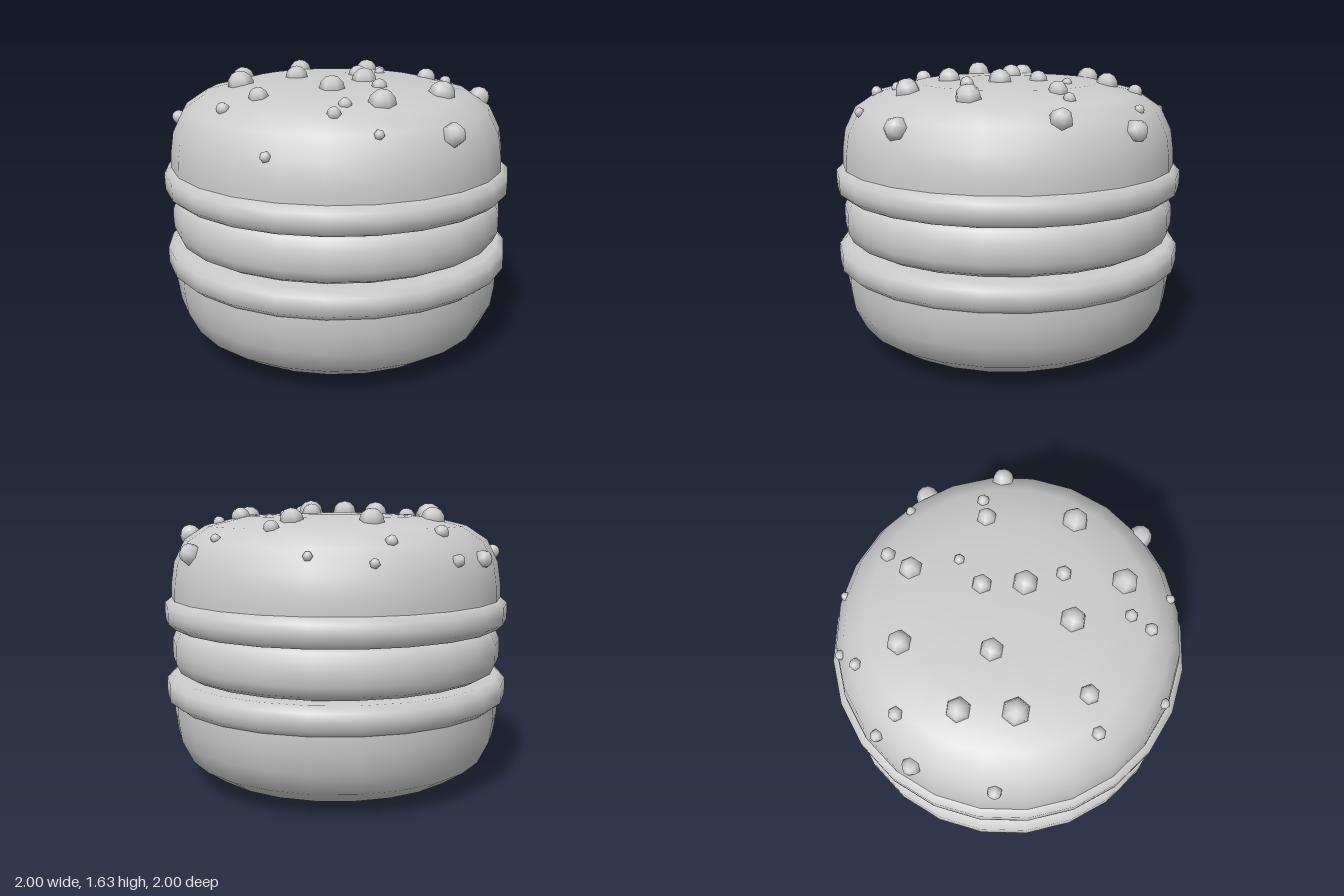
import * as THREE from 'three';

const SIDES = 24;
const HEIGHT = 1.565; // height of the two shells, which mirror each other

// Profiles as [radius, y], running upwards
const DOME = [[0.96, 1.0], [0.96, 1.1], [0.957, 1.17], [0.94, 1.285], [0.877, 1.412],
  [0.755, 1.493], [0.53, 1.547], [0.26, 1.56], [0, 1.563]];
const RIM = [[0.8, 0.923], [0.96, 0.923], [0.998, 0.955], [1, 1.0], [1, 1.05], [0.96, 1.083], [0.88, 1.083]];
const FILLING = [[0.8, 0.648], [0.89, 0.65], [0.935, 0.675], [0.96, 0.73], [0.962, 0.785],
  [0.96, 0.84], [0.935, 0.9], [0.89, 0.922], [0.8, 0.923]];

// Crumbs as [x, z, radius]
const CRUMBS = [
  [-0.545, -0.74, 0.052], [-0.33, -0.855, 0.037], [-0.3, -0.725, 0.04], [0.04, -0.835, 0.034],
  [0.16, -0.9, 0.028], [0.46, -0.77, 0.027], [0.035, -0.585, 0.067], [-0.41, -0.425, 0.067],
  [0.41, -0.395, 0.064], [0.55, -0.48, 0.043], [-0.825, -0.39, 0.041], [0.79, -0.275, 0.028],
  [-0.525, -0.16, 0.075], [-0.18, -0.16, 0.064], [0.18, -0.08, 0.055], [0.36, -0.14, 0.03],
  [0.895, -0.15, 0.064], [0.55, 0.085, 0.055], [0.67, 0.11, 0.035], [0.105, 0.135, 0.07],
  [-0.76, 0.195, 0.038], [-0.57, 0.22, 0.054], [-0.175, 0.29, 0.07], [0.085, 0.345, 0.043],
  [0.8, 0.275, 0.063], [0.37, 0.53, 0.074], [-0.25, 0.59, 0.036], [-0.35, 0.665, 0.037],
  [-0.06, 0.635, 0.074], [-0.7, 0.615, 0.03], [-0.2, 0.855, 0.028], [0.22, 0.87, 0.067],
];

const material = new THREE.MeshStandardMaterial({ color: 0xcccccc, side: THREE.DoubleSide });

function turned(name, profile) {
  const points = profile.map(([r, y]) => new THREE.Vector2(r, y));
  const mesh = new THREE.Mesh(new THREE.LatheGeometry(points, SIDES), material);
  mesh.name = name;
  return mesh;
}

const flipped = (profile) => profile.map(([r, y]) => [r, Math.max(0, HEIGHT - y)]).reverse();

// Height and outward tilt of the dome at a given radius
function domeAt(radius) {
  for (let i = DOME.length - 2; i > 0; i--) {
    const [r0, y0] = DOME[i];
    const [r1, y1] = DOME[i + 1];
    if (radius <= r0) {
      const t = (r0 - radius) / (r0 - r1);
      return { y: y0 + (y1 - y0) * t, tilt: Math.atan2(y1 - y0, r0 - r1) };
    }
  }
  return { y: DOME[1][1], tilt: Math.PI / 2 };
}

export function createModel() {
  const model = new THREE.Group();
  model.name = 'filledCookie';

  // Two shells with their flared rims, and the filling between them
  model.add(
    turned('topShell', DOME),
    turned('topRim', RIM),
    turned('filling', FILLING),
    turned('bottomRim', flipped(RIM)),
    turned('bottomShell', flipped(DOME)),
  );

  // Crumbs half sunk into the top shell, leaning with its surface
  const crumbs = new THREE.Group();
  crumbs.name = 'crumbs';
  const ball = new THREE.SphereGeometry(1, 6, 6).rotateY(Math.PI / 6);
  const up = new THREE.Vector3(0, 1, 0);
  for (const [x, z, size] of CRUMBS) {
    const { y, tilt } = domeAt(Math.hypot(x, z));
    const around = Math.atan2(x, z);
    const normal = new THREE.Vector3().setFromSphericalCoords(1, tilt, around);
    const crumb = new THREE.Mesh(ball, material);
    crumb.name = 'crumb';
    crumb.position.set(x, y, z);
    crumb.quaternion.setFromUnitVectors(up, normal);
    crumb.scale.setScalar(size);
    crumbs.add(crumb);
  }
  model.add(crumbs);
  return model;
}
